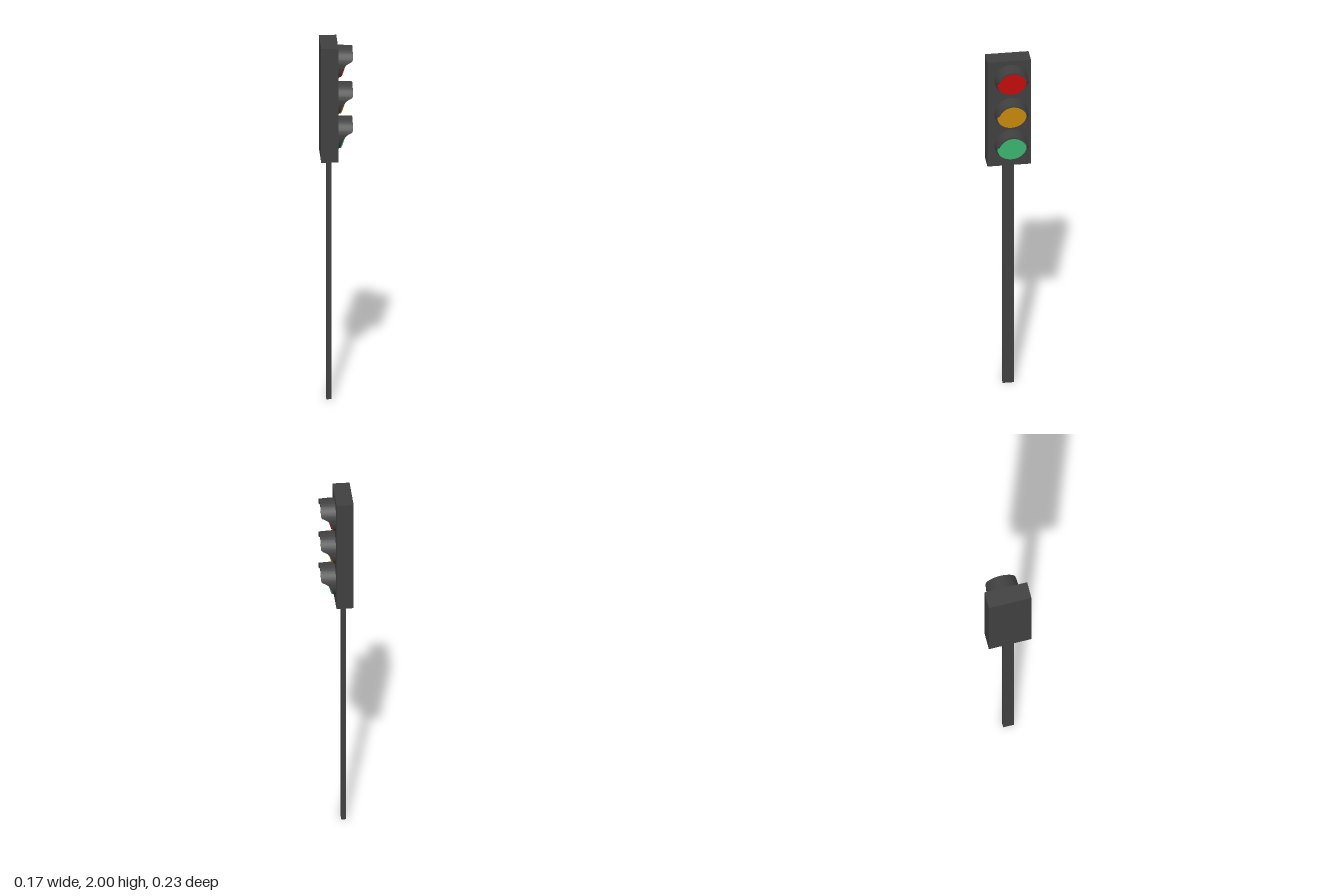
import * as THREE from 'three';
import { toCreasedNormals } from 'three/addons/utils/BufferGeometryUtils.js';

const FACE_X = 0.005;   // plane of the housing that carries the lights
const LIGHT_Z = -0.01;
const LENS_R = 0.078, HOOD_R = 0.089, HOOD_WALL = 0.009;

const paint = (color) => new THREE.MeshStandardMaterial({ color });

function add(parent, name, geometry, material, x, y, z) {
  const mesh = new THREE.Mesh(geometry, material);
  mesh.name = name;
  mesh.position.set(x, y, z);
  parent.add(mesh);
  return mesh;
}

// How far the hood reaches out at relative height h (-1 bottom, 1 top)
const HOOD_EDGE = [[-1, 0.003], [-0.5, 0.019], [-0.1, 0.034], [0.05, 0.042],
  [0.15, 0.056], [0.22, 0.07], [0.28, 0.077], [0.4, 0.08], [1, 0.08]];
function hoodReach(h) {
  for (let i = 1; i < HOOD_EDGE.length; i++) {
    const [h0, x0] = HOOD_EDGE[i - 1], [h1, x1] = HOOD_EDGE[i];
    if (h <= h1) return THREE.MathUtils.mapLinear(h, h0, h1, x0, x1);
  }
  return 0.08;
}

// Tapered visor: four-cornered wall section swept around the x axis
function hoodGeometry(segments = 80) {
  const positions = [], index = [];
  for (let i = 0; i < segments; i++) {
    const a = (i / segments) * Math.PI * 2;
    const reach = hoodReach(Math.cos(a));
    const tipR = HOOD_R - 0.045 * reach;
    const section = [[0, HOOD_R], [reach, tipR], [reach, tipR - HOOD_WALL], [0, HOOD_R - HOOD_WALL]];
    for (const [x, r] of section) positions.push(x, r * Math.cos(a), r * Math.sin(a));
    const j = (i + 1) % segments;
    for (let k = 0; k < 4; k++) {
      const n = (k + 1) % 4;
      const p = i * 4 + k, q = j * 4 + k, s = j * 4 + n, t = i * 4 + n;
      index.push(p, q, s, p, s, t);
    }
  }
  const geometry = new THREE.BufferGeometry();
  geometry.setAttribute('position', new THREE.Float32BufferAttribute(positions, 3));
  geometry.setIndex(index);
  return toCreasedNormals(geometry, 0.6);
}

// Disc lens whose outer face leans forward at the top
function lensGeometry() {
  const geometry = new THREE.CylinderGeometry(LENS_R, LENS_R, 1, 48);
  geometry.rotateZ(-Math.PI / 2);
  const pos = geometry.attributes.position;
  for (let i = 0; i < pos.count; i++) {
    pos.setX(i, pos.getX(i) > 0 ? 0.037 + 0.27 * pos.getY(i) : 0);
  }
  return toCreasedNormals(geometry, 0.6);
}

export function createModel() {
  const model = new THREE.Group();
  model.name = 'trafficLight';
  const dark = paint(0x404040);

  // Post and housing
  add(model, 'post', new THREE.BoxGeometry(0.026, 1.37, 0.06), dark, -0.042, 0.685, 0);
  add(model, 'housing', new THREE.BoxGeometry(0.092, 0.64, 0.234), dark, -0.041, 1.68, 0);

  // Three lights, each with its hood
  const hood = hoodGeometry(), lens = lensGeometry();
  const lights = [['red', 0xd81010, 1.88], ['amber', 0xdc980f, 1.676], ['green', 0x42c87c, 1.482]];
  for (const [name, color, y] of lights) {
    const light = new THREE.Group();
    light.name = name + 'Light';
    light.position.set(FACE_X, y, LIGHT_Z);
    add(light, name + 'Lens', lens, paint(color), 0, 0, 0);
    add(light, name + 'Hood', hood, dark, 0, 0.007, 0);
    model.add(light);
  }
  return model;
}
